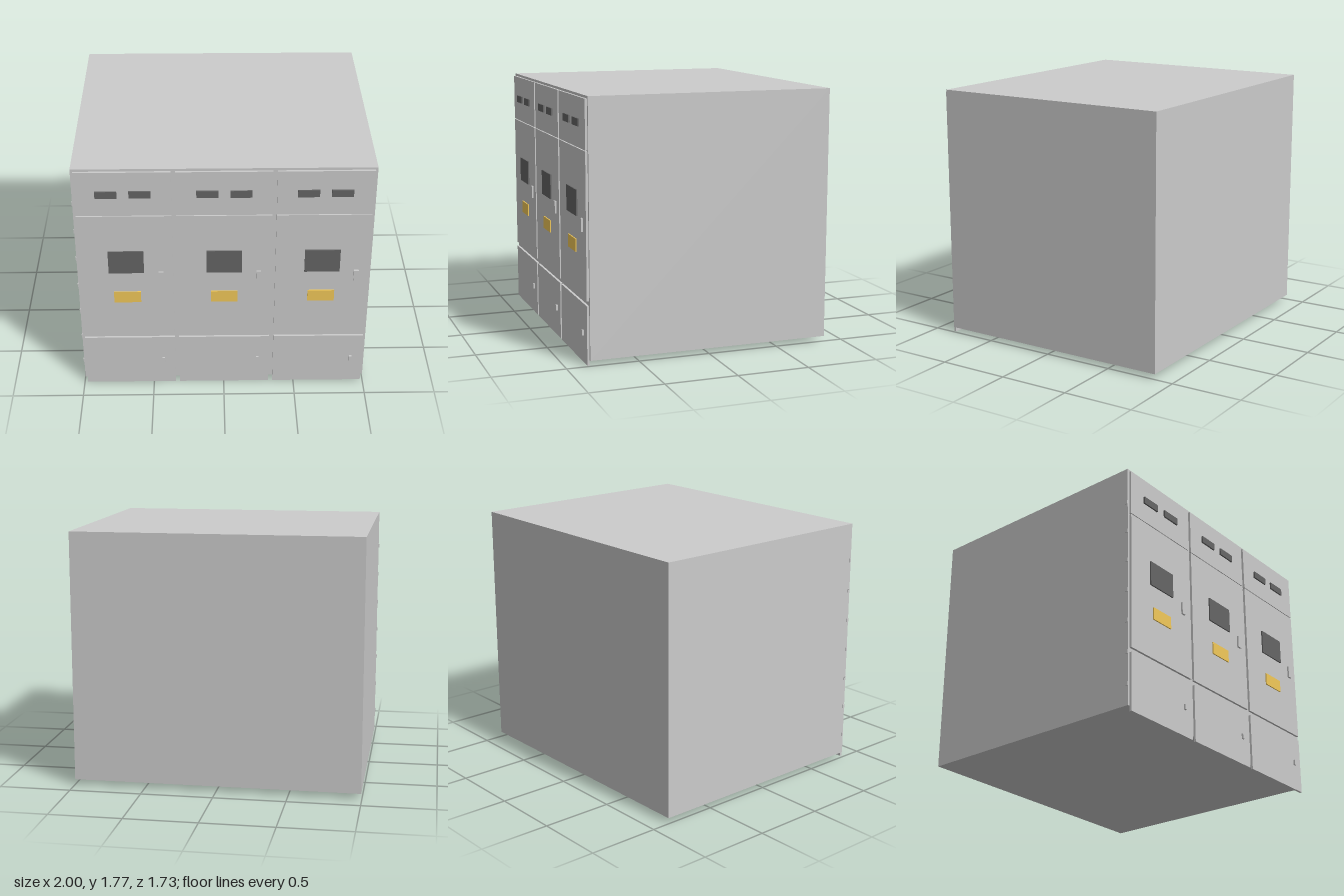
import * as THREE from 'three';

const grey = new THREE.MeshStandardMaterial({ color: 0xcccccc });
const dark = new THREE.MeshStandardMaterial({ color: 0x656565 });
const yellow = new THREE.MeshStandardMaterial({ color: 0xf2c959 });

// Box given by its extents on each axis
function slab(name, [x0, x1], [y0, y1], [z0, z1], material = grey) {
  const mesh = new THREE.Mesh(new THREE.BoxGeometry(x1 - x0, y1 - y0, z1 - z0), material);
  mesh.name = name;
  mesh.position.set((x0 + x1) / 2, (y0 + y1) / 2, (z0 + z1) / 2);
  return mesh;
}

const BODY_FRONT = 0.838;
const DOOR_FRONT = 0.854;

// One cubicle front: three door panels with their fittings
function createBay() {
  const bay = new THREE.Group();
  const door = [BODY_FRONT, DOOR_FRONT];
  const width = [-0.317, 0.317];
  bay.add(
    slab('lowerDoor', width, [0, 0.404], door),
    slab('mainDoor', width, [0.436, 1.421], door),
    slab('upperDoor', width, [1.427, 1.758], door)
  );

  // Instrument windows on the upper door
  for (const side of [-1, 1]) {
    const x = side * 0.111;
    bay.add(slab('instrumentWindow', [x - 0.072, x + 0.072], [1.567, 1.618], [DOOR_FRONT, 0.865], dark));
  }

  // Main door window, warning plate and handle
  bay.add(
    slab('viewingWindow', [-0.12, 0.12], [0.967, 1.143], [DOOR_FRONT, 0.863], dark),
    slab('warningPlate', [-0.092, 0.092], [0.72, 0.808], [DOOR_FRONT, 0.862], yellow),
    slab('doorHandle', [0.218, 0.251], [0.887, 0.974], [DOOR_FRONT, 0.867]),
    slab('lowerLatch', [0.226, 0.244], [0.187, 0.224], [DOOR_FRONT, 0.867])
  );
  return bay;
}

export function createModel() {
  const model = new THREE.Group();
  model.name = 'switchgearCabinet';
  model.add(slab('cabinetBody', [-0.995, 1], [0.037, 1.775], [-0.867, BODY_FRONT]));

  // Three identical bays side by side
  for (let i = -1; i <= 1; i++) {
    const bay = createBay();
    bay.name = 'bay';
    bay.position.x = 0.003 + i * 0.664;
    model.add(bay);
  }

  // Column of small hinges on one front corner
  for (let i = 0; i < 7; i++) {
    const y = 0.185 + i * 0.221;
    model.add(slab('hinge', [-1, -0.99], [y - 0.014, y + 0.014], [0.82, 0.836]));
  }
  return model;
}
